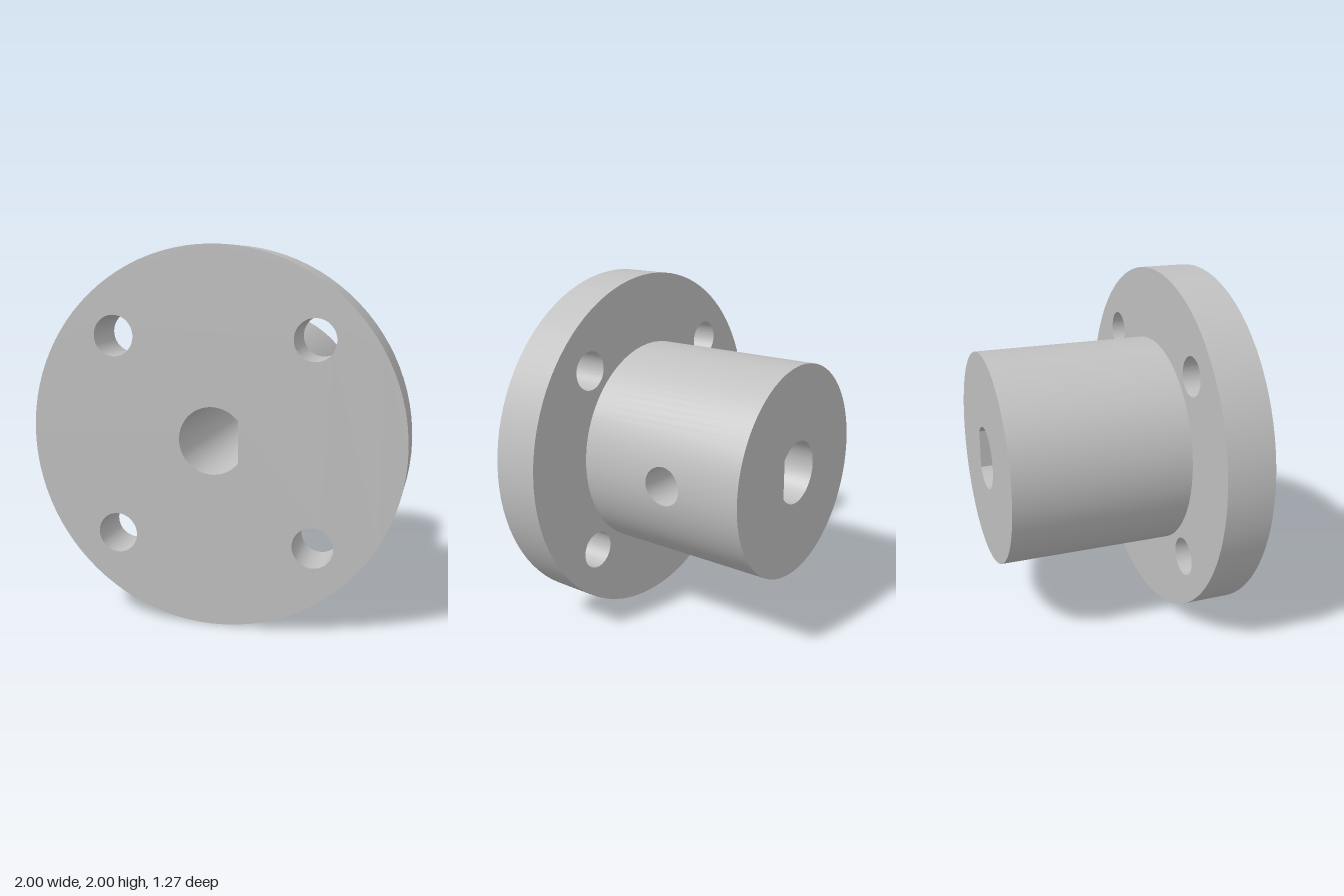
import * as THREE from 'three';
import { toCreasedNormals } from 'three/addons/utils/BufferGeometryUtils.js';
import { ParametricGeometry } from 'three/addons/geometries/ParametricGeometry.js';

const FLANGE_R = 1, HUB_R = 0.6, BORE_R = 0.178, FLAT_X = 0.14, HOLE_R = 0.108;
const BACK = -0.635, STEP = 0.365, FRONT = 0.635;
const BOLT = 0.533, SCREW_Z = -0.165;
const FLAT_ANGLE = Math.acos(FLAT_X / BORE_R);
const PATCH_ANGLE = 0.5; // half-angle of the hub wall patch around the screw hole
const TAU = Math.PI * 2;

function disc(radius) {
  return new THREE.Shape().absarc(0, 0, radius, 0, TAU);
}

function circleHole(x, y) {
  return new THREE.Path().absarc(x, y, HOLE_R, 0, TAU);
}

// D-shaped bore outline with its flat on +x
function boreOutline() {
  return new THREE.Path().absarc(0, 0, BORE_R, FLAT_ANGLE, TAU - FLAT_ANGLE);
}

export function createModel() {
  const group = new THREE.Group();
  const body = new THREE.Group();
  body.name = 'flangedHub';
  body.position.y = 1;
  group.add(body);

  const grey = new THREE.MeshStandardMaterial({ color: 0xc0c0c0 });
  grey.name = 'metal grey';

  function add(name, geometry) {
    const mesh = new THREE.Mesh(geometry, grey);
    mesh.name = name;
    body.add(mesh);
  }

  // Flange with four bolt holes and the bore
  const flange = disc(FLANGE_R);
  flange.holes.push(boreOutline());
  for (const sx of [-1, 1]) {
    for (const sy of [-1, 1]) flange.holes.push(circleHole(sx * BOLT, sy * BOLT));
  }
  const flangeGeo = new THREE.ExtrudeGeometry(flange, {
    depth: FRONT - STEP, bevelEnabled: false, curveSegments: 48,
  });
  flangeGeo.translate(0, 0, STEP);
  add('flange', toCreasedNormals(flangeGeo, 0.5));

  // Hub wall, everywhere except the patch around the screw hole
  add('hubWall', new ParametricGeometry((u, v, p) => {
    const a = PATCH_ANGLE + u * (TAU - 2 * PATCH_ANGLE);
    p.set(HUB_R * Math.cos(a), HUB_R * Math.sin(a), BACK + v * (STEP - BACK));
  }, 80, 1));

  // Patch of the hub wall, lofted from the round screw hole to a rectangle
  add('hubWallAroundScrewHole', new ParametricGeometry((u, v, p) => {
    const t = -u * TAU, c = Math.cos(t), s = Math.sin(t);
    const m = Math.max(Math.abs(c), Math.abs(s));
    const holeAngle = Math.asin(HOLE_R * c / HUB_R);
    const holeZ = SCREW_Z + HOLE_R * s;
    const edgeZ = SCREW_Z + (s / m) * (s > 0 ? STEP - SCREW_Z : SCREW_Z - BACK);
    const a = THREE.MathUtils.lerp(holeAngle, PATCH_ANGLE * c / m, v);
    p.set(HUB_R * Math.cos(a), HUB_R * Math.sin(a), THREE.MathUtils.lerp(holeZ, edgeZ, v));
  }, 80, 10));

  // Rear end of the hub
  const end = disc(HUB_R);
  end.holes.push(boreOutline());
  add('hubEnd', new THREE.ShapeGeometry(end, 48).rotateX(Math.PI).translate(0, 0, BACK));

  // Round part of the bore, facing inwards
  add('boreWall', new ParametricGeometry((u, v, p) => {
    const a = TAU - FLAT_ANGLE - u * (TAU - 2 * FLAT_ANGLE);
    p.set(BORE_R * Math.cos(a), BORE_R * Math.sin(a), BACK + v * (STEP - BACK));
  }, 75, 1));

  // Flat of the bore, pierced by the screw hole
  const h = BORE_R * Math.sin(FLAT_ANGLE);
  const flat = new THREE.Shape([
    new THREE.Vector2(BACK, -h), new THREE.Vector2(STEP, -h),
    new THREE.Vector2(STEP, h), new THREE.Vector2(BACK, h),
  ]);
  flat.holes.push(circleHole(SCREW_Z, 0));
  add('boreFlat', new THREE.ShapeGeometry(flat, 40).rotateY(-Math.PI / 2).translate(FLAT_X, 0, 0));

  // Screw hole from the bore flat out to the hub wall
  add('screwHole', new ParametricGeometry((u, v, p) => {
    const t = -u * TAU, y = HOLE_R * Math.cos(t);
    const outerX = Math.sqrt(HUB_R * HUB_R - y * y);
    p.set(THREE.MathUtils.lerp(FLAT_X, outerX, v), y, SCREW_Z + HOLE_R * Math.sin(t));
  }, 80, 1));

  return group;
}
